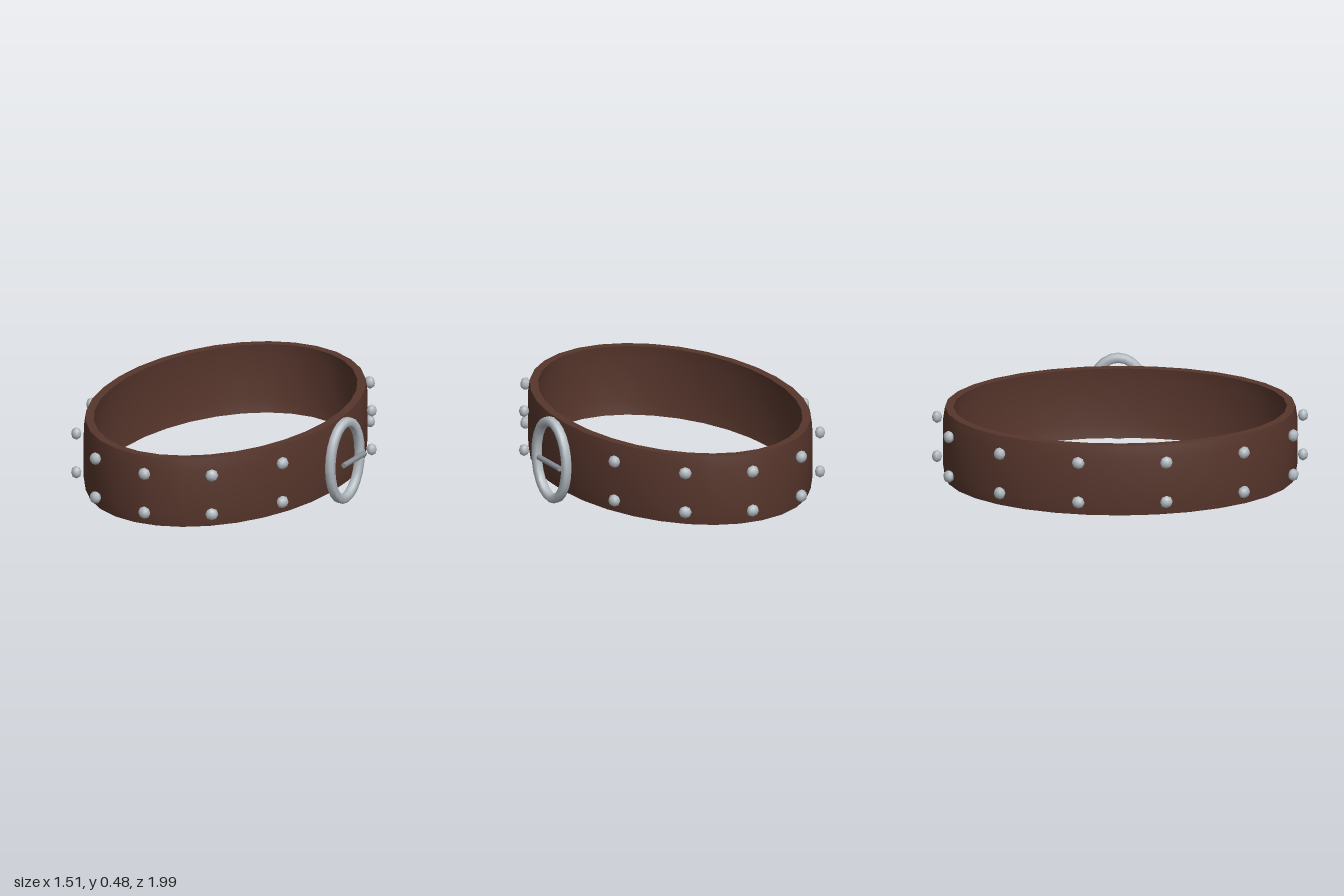
import * as THREE from 'three';
import { toCreasedNormals } from 'three/addons/utils/BufferGeometryUtils.js';

const leather = new THREE.MeshStandardMaterial({ name: 'brown leather', color: 0x57362c });
const metal = new THREE.MeshStandardMaterial({ name: 'silver metal', color: 0xb4bcc2 });
const darkMetal = new THREE.MeshStandardMaterial({ name: 'dark metal', color: 0x8b9298 });

const CENTER_X = -0.037;
const MID_Y = 0.241;

function addMesh(parent, name, geometry, material) {
  const mesh = new THREE.Mesh(geometry, material);
  mesh.name = name;
  parent.add(mesh);
  return mesh;
}

// Closed oval band of even thickness: profile is [offset from the oval, height]
function ovalBand(profile, radiusX, radiusZ, segments) {
  const points = [...profile, profile[0]].map(([offset, y]) => new THREE.Vector2(1 + offset, y));
  const lathe = new THREE.LatheGeometry(points, segments);
  const position = lathe.attributes.position;
  for (let i = 0; i < position.count; i++) {
    const x = position.getX(i), z = position.getZ(i);
    const r = Math.hypot(x, z);
    position.setX(i, (x / r) * (radiusX + r - 1));
    position.setZ(i, (z / r) * (radiusZ + r - 1));
  }
  return toCreasedNormals(lathe, 0.9);
}

// Leather strap: a shell bulging outwards at mid height, with flat rims
function makeStrap(group) {
  const half = 0.194, shoulder = 0.12;
  const profile = [
    [-0.011, -half], [0, -shoulder], [0, shoulder], [-0.011, half],
    [-0.056, half], [-0.045, shoulder], [-0.045, -shoulder], [-0.056, -half],
  ];
  addMesh(group, 'strap', ovalBand(profile, 0.673, 0.94, 32), leather)
    .position.set(CENTER_X, MID_Y, 0);
}

// Two rows of studs, leaving the buckle's place free
function makeStuds(group) {
  const geometry = new THREE.SphereGeometry(0.035, 8, 4);
  geometry.rotateX(Math.PI / 2);
  geometry.scale(1, 1, 0.78);
  const count = 13;
  for (let i = 1; i < count; i++) {
    const a = (i / count) * Math.PI * 2;
    for (const y of [0.131, 0.351]) {
      const stud = addMesh(group, 'stud', geometry, metal);
      stud.position.set(CENTER_X + 0.711 * Math.cos(a), y, 0.977 * Math.sin(a));
      stud.rotation.y = Math.PI / 2 - a;
    }
  }
}

// Upright oval ring with a prong across its outer face
function makeBuckle(group) {
  const buckle = new THREE.Group();
  buckle.name = 'buckle';
  buckle.position.set(0.703, 0.24, 0);

  const w = 0.024, f = 0.014;
  const profile = [
    [w, -f], [w, f], [f, w], [-f, w], [-w, f], [-w, -f], [-f, -w], [f, -w],
  ];
  const ring = ovalBand(profile, 0.214, 0.15, 24);
  ring.rotateZ(Math.PI / 2);
  addMesh(buckle, 'buckleRing', ring, metal);

  const prong = addMesh(buckle, 'prong', new THREE.CylinderGeometry(0.015, 0.015, 0.214, 8), darkMetal);
  prong.rotation.x = Math.PI / 2;
  prong.position.set(0.035, 0, -0.036);
  group.add(buckle);
}

export function createModel() {
  const model = new THREE.Group();
  model.name = 'studdedCollar';
  makeStrap(model);
  makeStuds(model);
  makeBuckle(model);
  return model;
}
